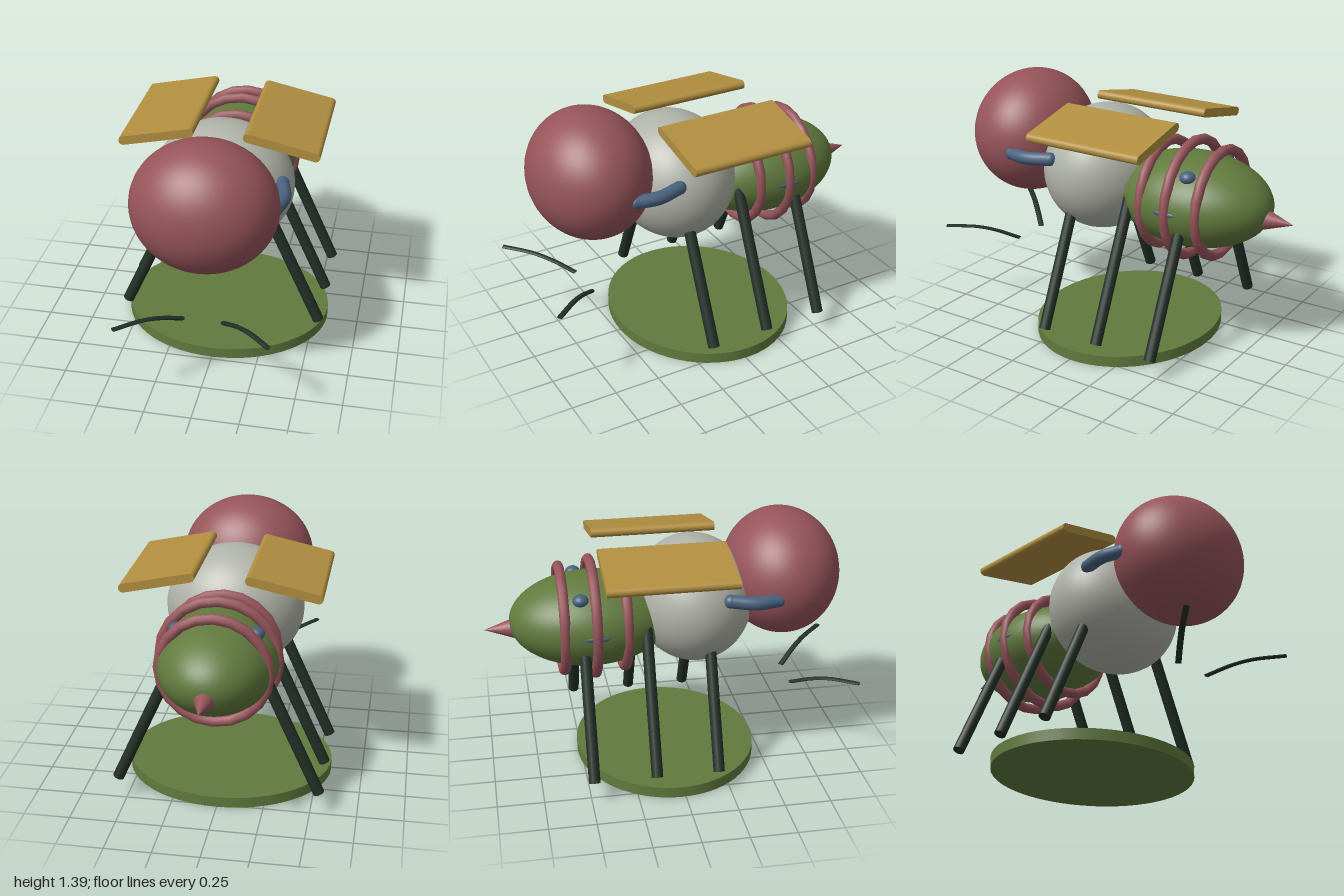
import * as THREE from 'three';

const mat = (name, color) => {
  const m = new THREE.MeshStandardMaterial({ color });
  m.name = name;
  return m;
};

export function createModel() {
  const root = new THREE.Group();
  root.name = 'bee';
  const rose = mat('rose', 0x96545a);
  const grey = mat('grey', 0xb0b3a8);
  const green = mat('green', 0x617a3d);
  const gold = mat('gold', 0xb28f40);
  const dark = mat('dark', 0x223027);
  const blue = mat('blue', 0x48627f);
  const v = (x, y, z) => new THREE.Vector3(x, y, z);

  const add = (name, geo, material, parent = root) => {
    const m = new THREE.Mesh(geo, material);
    m.name = name;
    parent.add(m);
    return m;
  };
  const ellipsoid = (name, material, c, r, parent = root) => {
    const m = add(name, new THREE.SphereGeometry(1, 48, 32), material, parent);
    m.position.set(...c);
    m.scale.set(...r);
    return m;
  };

  // Base disc
  const base = add('base', new THREE.CylinderGeometry(1, 1, 0.06, 64), green);
  base.scale.set(0.575, 1, 0.5);
  base.position.set(0, 0.03, -0.02);

  // Body
  ellipsoid('head', rose, [0, 1.042, 0.625], [0.378, 0.345, 0.32]);
  ellipsoid('thorax', grey, [0, 0.915, 0.138], [0.383, 0.345, 0.325]);
  ellipsoid('abdomen', green, [0, 0.835, -0.422], [0.32, 0.25, 0.443]);

  // Rings round the abdomen
  for (const [z, r] of [[-0.255, 0.285], [-0.42, 0.313], [-0.585, 0.285]]) {
    const ring = add('abdomenRing', new THREE.TorusGeometry(r, 0.028, 10, 20), rose);
    ring.position.set(0, 0.838, z);
  }

  // Stinger
  const stinger = add('stinger', new THREE.ConeGeometry(0.055, 0.16, 24), rose);
  stinger.rotation.x = -Math.PI / 2;
  stinger.position.set(0, 0.8, -0.92);

  // Capsule section for the wings, extruded along z
  const slot = new THREE.Shape();
  const half = 0.179, wr = 0.024;
  slot.moveTo(-half, -wr);
  slot.lineTo(half, -wr);
  slot.absarc(half, 0, wr, -Math.PI / 2, Math.PI / 2, false);
  slot.lineTo(-half, wr);
  slot.absarc(-half, 0, wr, Math.PI / 2, Math.PI * 1.5, false);

  for (const s of [1, -1]) {
    const side = new THREE.Group();
    side.name = s > 0 ? 'leftSide' : 'rightSide';
    root.add(side);

    // Wing
    const wing = add('wing', new THREE.ExtrudeGeometry(slot,
      { depth: 0.68, bevelEnabled: false, curveSegments: 10 }), gold, side);
    wing.position.set(s * 0.329, 1.219, -0.395);
    wing.rotation.z = -s * 0.213;

    // Legs
    for (const z of [0.185, -0.15, -0.485]) {
      const foot = v(s * 0.545, 0.12, z), hip = v(s * 0.215, 0.85, z);
      const leg = add('leg', new THREE.CylinderGeometry(0.031, 0.031, foot.distanceTo(hip), 16), dark, side);
      leg.position.copy(foot).add(hip).multiplyScalar(0.5);
      leg.quaternion.setFromUnitVectors(v(0, 1, 0), hip.clone().sub(foot).normalize());
    }

    // Flattened feeler: swept at double height, then squashed
    const feelerPath = new THREE.CatmullRomCurve3([
      v(s * 0.108, 0.78, 0.688), v(s * 0.2, 0.895, 0.785),
      v(s * 0.275, 0.955, 0.865), v(s * 0.39, 0.99, 0.99)]);
    const feeler = new THREE.TubeGeometry(feelerPath, 20, 0.016, 8);
    feeler.scale(1, 0.5, 1);
    const feelerMesh = add('feeler', feeler, dark, side);
    feelerMesh.material.side = THREE.DoubleSide;

    // Curved cheek bar with round ends
    const bar = [v(s * 0.337, 1.015, 0.275), v(s * 0.366, 1.006, 0.41), v(s * 0.342, 1.004, 0.53)];
    add('cheekBar', new THREE.TubeGeometry(new THREE.CatmullRomCurve3(bar), 20, 0.036, 14), blue, side);
    for (const p of [bar[0], bar[2]])
      ellipsoid('cheekBarEnd', blue, p.toArray(), [0.036, 0.036, 0.036], side);

    // Spots on the abdomen
    ellipsoid('upperSpot', blue, [s * 0.205, 1.02, -0.495], [0.042, 0.034, 0.042], side);
    ellipsoid('sideSpot', blue, [s * 0.3, 0.84, -0.42], [0.024, 0.02, 0.09], side);
  }
  return root;
}
